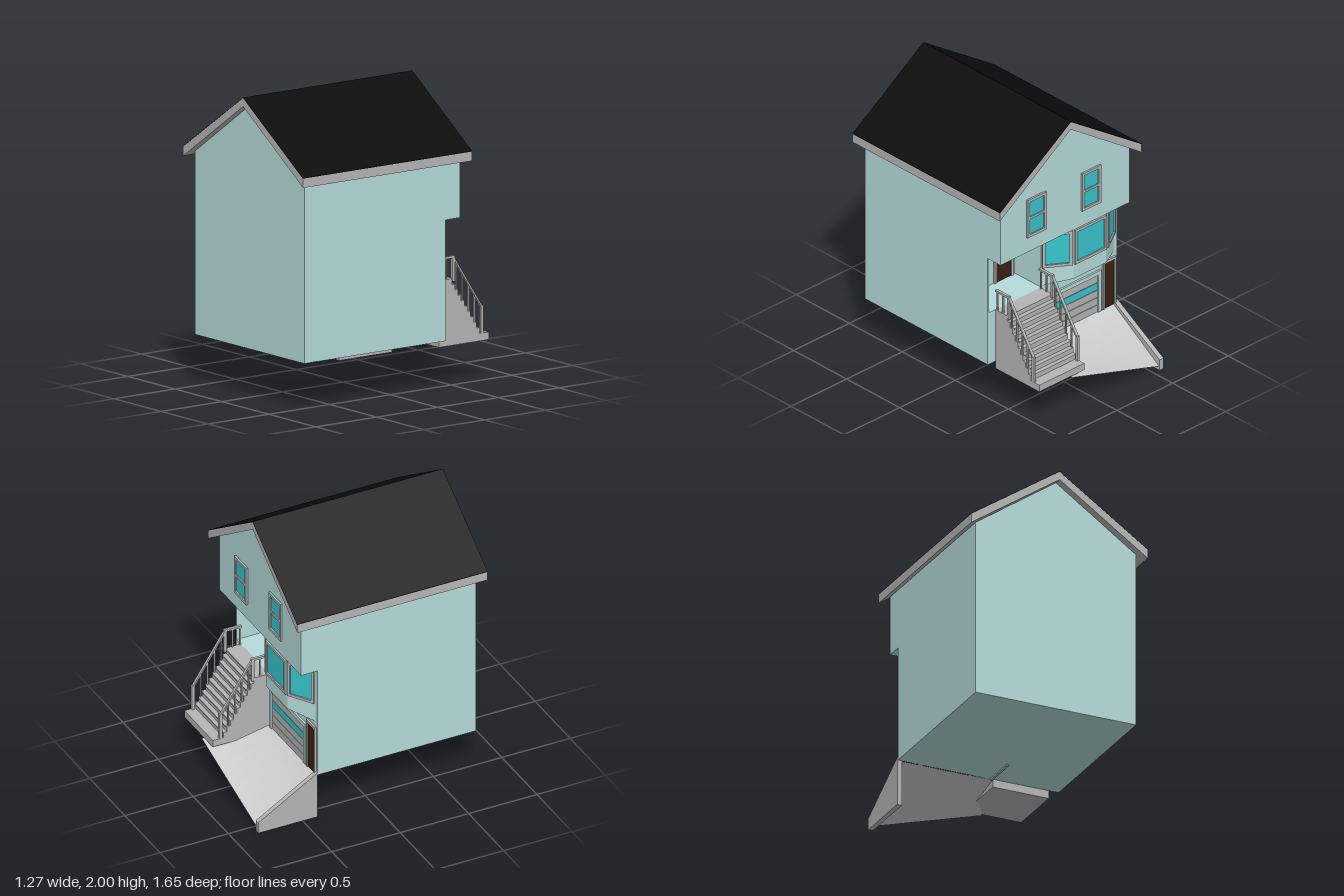
import * as THREE from 'three';

const mat = (color) => new THREE.MeshStandardMaterial({ color, flatShading: true });

export function createModel() {
  const house = new THREE.Group();
  house.name = 'house';
  const siding = mat(0xb5dcdb), grey = mat(0xb5b5b5), black = mat(0x0b0b0b);
  const glass = mat(0x38c4cc), brown = mat(0x3a2112), paving = mat(0xc6c6c6);

  const add = (name, geo, material, parent = house) => {
    const mesh = new THREE.Mesh(geo, material);
    mesh.name = name;
    parent.add(mesh);
    return mesh;
  };
  // box given by its two extreme corners
  const block = (name, x0, x1, y0, y1, z0, z1, material, parent = house) => {
    const mesh = add(name, new THREE.BoxGeometry(x1 - x0, y1 - y0, z1 - z0), material, parent);
    mesh.position.set((x0 + x1) / 2, (y0 + y1) / 2, (z0 + z1) / 2);
    return mesh;
  };
  const shapeOf = (pts) => new THREE.Shape(pts.map(([x, y]) => new THREE.Vector2(x, y)));
  // outline in x,y pushed along z
  const prismZ = (pts, z0, z1) =>
    new THREE.ExtrudeGeometry(shapeOf(pts), { depth: z1 - z0, bevelEnabled: false }).translate(0, 0, z0);
  // outline in z,y pushed along x
  const prismX = (pts, x0, x1) =>
    new THREE.ExtrudeGeometry(shapeOf(pts.map(([z, y]) => [-z, y])), { depth: x1 - x0, bevelEnabled: false })
      .rotateY(Math.PI / 2).translate(x0, 0, 0);

  // Main walls, with an open porch cut into one corner
  const W = 0.58, ENTRY = -0.39, UPPER = -0.51, BACK = 0.77, PORCH = -0.14, FLOOR = 0.71, MID = 1.125;
  add('upperStorey', prismZ([[-W, MID], [W, MID], [W, 1.54], [0, 1.94], [-W, 1.54]], UPPER, BACK), siding);
  block('mainWalls', -W, W, 0.32, MID, PORCH, BACK, siding);
  block('garageWalls', -W, 0.1, 0.32, MID, ENTRY, PORCH, siding);
  block('porchBase', 0.1, W, 0.32, FLOOR, ENTRY, PORCH, siding);
  block('porchSideWall', 0.568, W, FLOOR, MID, ENTRY, PORCH, siding);
  block('wallFooting', 0.085, 0.1, 0.308, 0.32, ENTRY, PORCH, grey);

  // Roof slab with dark covering
  add('roofSlab', prismZ([[-0.637, 1.505], [0, 1.94], [0.637, 1.505], [0.637, 1.567], [0, 1.997], [-0.637, 1.567]],
    -0.565, 0.825), grey);
  add('roofCovering', prismZ([[-0.637, 1.567], [0, 1.997], [0.637, 1.567], [0.637, 1.57], [0, 2], [-0.637, 1.57]],
    -0.566, 0.826), black);

  // Framed window whose outside faces -z, origin at bottom centre
  const addWindow = (name, w, h, x, y, z, turn = 0, midRail = false) => {
    const g = new THREE.Group();
    g.name = name;
    const t = 0.02;
    block('pane', -w / 2, w / 2, 0, h, -0.004, 0.004, glass, g);
    for (const s of [-1, 1]) {
      const c = s * (w / 2 - t / 2);
      block('frameSide', c - t / 2, c + t / 2, 0, h, -0.014, 0, grey, g);
    }
    block('frameBottom', -w / 2, w / 2, 0, t, -0.014, 0, grey, g);
    block('frameTop', -w / 2, w / 2, h - t, h, -0.014, 0, grey, g);
    if (midRail) block('frameMiddle', -w / 2, w / 2, h / 2 - 0.008, h / 2 + 0.008, -0.012, 0, grey, g);
    g.position.set(x, y, z);
    g.rotation.y = turn;
    house.add(g);
  };
  for (const x of [0.262, -0.228]) addWindow('upperWindow', 0.17, 0.285, x, 1.24, UPPER, 0, true);

  // Bay with a sloping underside
  const bay = new THREE.ExtrudeGeometry(
    shapeOf([[0.1, ENTRY], [-0.08, -0.505], [-0.375, -0.505], [-0.555, ENTRY]]),
    { depth: MID - 0.72, bevelEnabled: false }).rotateX(Math.PI / 2).translate(0, MID, 0);
  const p = bay.attributes.position;
  for (let i = 0; i < p.count; i++) if (p.getY(i) < 0.8 && p.getZ(i) < -0.45) p.setY(i, 0.75);
  bay.computeVertexNormals();
  add('bay', bay, siding);
  addWindow('bayWindow', 0.285, 0.26, -0.2275, 0.86, -0.505);
  const tilt = Math.atan2(0.115, 0.18);
  addWindow('bayWindow', 0.2, 0.26, 0.01, 0.86, -0.4475, -tilt);
  addWindow('bayWindow', 0.2, 0.26, -0.465, 0.86, -0.4475, tilt);

  // Garage door of stacked panels with a glazed row
  const rows = 5, rowH = 0.056;
  for (let i = 0; i < rows; i++) {
    const y = 0.32 + i * rowH;
    block('garagePanel', -0.4, 0.05, y, y + rowH - 0.004, ENTRY - 0.006, ENTRY, i === 3 ? glass : grey);
  }
  block('garageTrimSide', 0.05, 0.075, 0.32, 0.62, ENTRY - 0.014, ENTRY, siding);
  block('garageTrimSide', -0.43, -0.4, 0.32, 0.62, ENTRY - 0.014, ENTRY, siding);
  block('garageTrimTop', -0.43, 0.075, 0.6, 0.63, ENTRY - 0.014, ENTRY, siding);

  // Side door and porch door
  block('sideDoor', -0.55, -0.46, 0.32, 0.66, ENTRY - 0.006, ENTRY, brown);
  for (const x of [-0.565, -0.46]) block('sideDoorTrim', x, x + 0.015, 0.32, 0.68, ENTRY - 0.014, ENTRY, grey);
  block('sideDoorTrim', -0.565, -0.445, 0.66, 0.68, ENTRY - 0.014, ENTRY, grey);
  block('porchDoor', 0.14, 0.27, FLOOR, 1.02, PORCH - 0.006, PORCH, brown);
  for (const x of [0.12, 0.27]) block('porchDoorTrim', x, x + 0.02, FLOOR, 1.04, PORCH - 0.014, PORCH, grey);
  block('porchDoorTrim', 0.12, 0.29, 1.02, 1.04, PORCH - 0.014, PORCH, grey);

  // Entrance stairs: landing, ten risers and a deep bottom step
  const STEPS = 10, RISE = 0.0395, RUN = 0.025, TOP = -0.5;
  const profile = [[ENTRY, 0.265], [ENTRY, FLOOR]];
  for (let i = 0; i < STEPS; i++) {
    const z = TOP - i * RUN;
    profile.push([z, FLOOR - i * RISE], [z, FLOOR - (i + 1) * RISE]);
  }
  profile.push([-0.803, 0.315], [-0.803, 0.265]);
  add('stairs', prismX(profile, 0.105, 0.51), grey);
  for (let i = 0; i < STEPS; i++) {
    const z = TOP - i * RUN, y = FLOOR - i * RISE;
    block('treadNosing', 0.12, 0.495, y - 0.01, y, z - 0.006, z, grey);
  }

  // Railings on both sides
  for (const x of [0.112, 0.503]) {
    const r = 0.01;
    block('topPost', x - r, x + r, 0.69, 0.862, -0.52, -0.5, grey);
    block('bottomPost', x - r, x + r, 0.315, 0.5, -0.755, -0.735, grey);
    add('slopedRail', prismX([[-0.51, 0.84], [-0.51, 0.86], [-0.745, 0.5], [-0.745, 0.48]], x - r, x + r), grey);
    block('landingRail', x - r, x + r, 0.845, 0.86, -0.51, ENTRY, grey);
    for (const z of [-0.4, -0.455]) block('landingBaluster', x - 0.005, x + 0.005, FLOOR, 0.85, z - 0.005, z + 0.005, grey);
    for (let i = 1; i < STEPS; i += 2) {
      const z = TOP - (i + 0.5) * RUN, top = 0.85 + (z + 0.51) * 1.53;
      block('baluster', x - 0.005, x + 0.005, FLOOR - (i + 1) * RISE, top, z - 0.005, z + 0.005, grey);
    }
  }

  // Driveway: a twisted sheet falling towards the retaining wall
  const drive = new THREE.PlaneGeometry(1, 1, 8, 8).rotateX(-Math.PI / 2);
  const d = drive.attributes.position;
  for (let i = 0; i < d.count; i++) {
    const u = d.getX(i) + 0.5, v = 0.5 - d.getZ(i);
    const low = 0.03 + 0.235 * u;
    d.setXYZ(i, -0.55 + 0.78 * u, 0.315 + (low - 0.315) * v, ENTRY - 0.43 * v);
  }
  drive.computeVertexNormals();
  const sheet = paving.clone();
  sheet.side = THREE.DoubleSide;
  add('driveway', drive, sheet);

  // Retaining wall beside the driveway
  add('retainingWall', prismX([[ENTRY, 0], [ENTRY, 0.34], [-0.825, 0.08], [-0.825, 0]], -0.585, -0.55), grey);

  return house;
}
